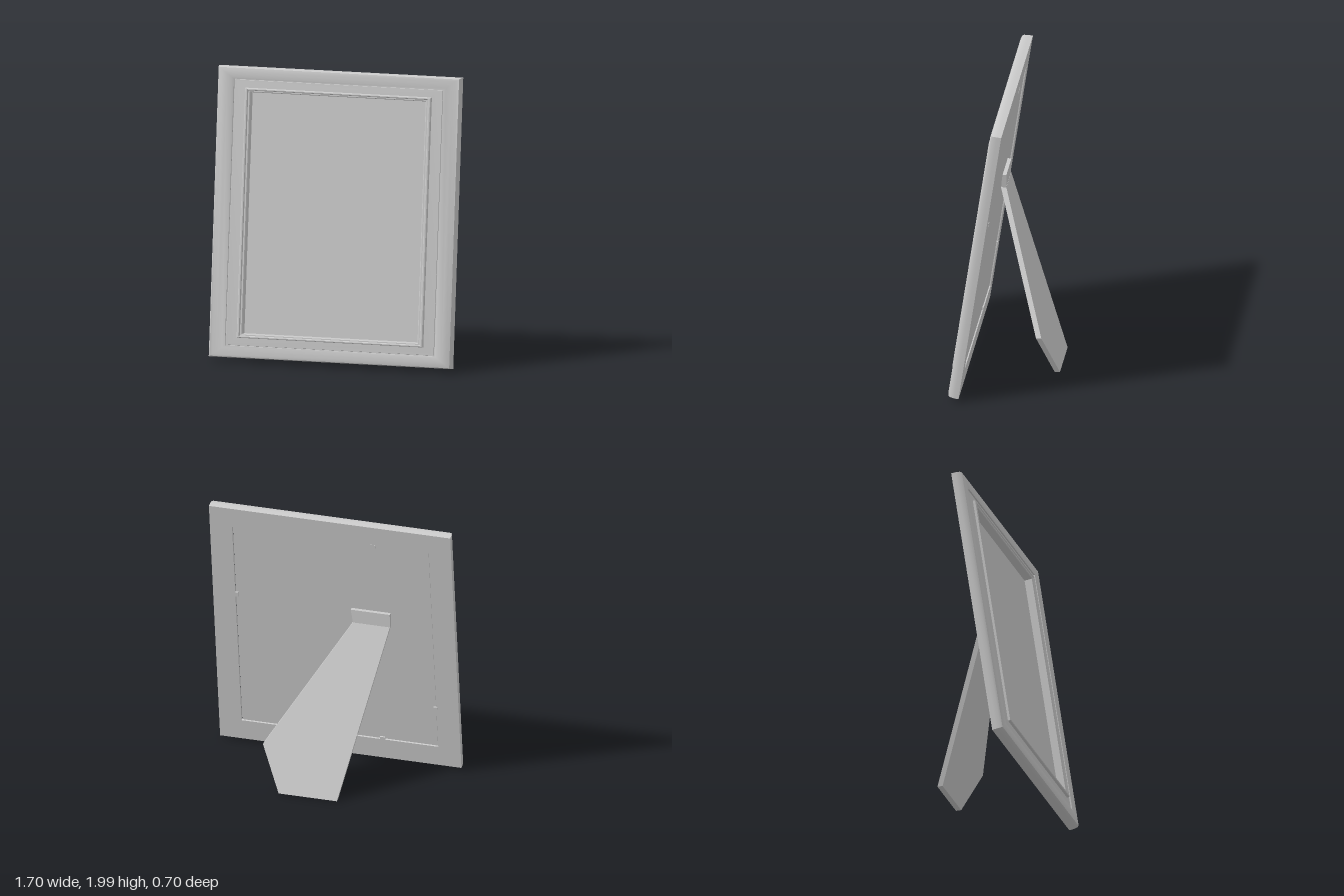
import * as THREE from 'three';
import { toCreasedNormals } from 'three/addons/utils/BufferGeometryUtils.js';

const W = 0.85, H = 1.988, TILT = 0.148;
const material = new THREE.MeshStandardMaterial({ color: 0xcccccc });

function addMesh(parent, name, geometry, x = 0, y = 0, z = 0) {
  const mesh = new THREE.Mesh(geometry, material);
  mesh.name = name;
  mesh.position.set(x, y, z);
  parent.add(mesh);
  return mesh;
}

// Mitred rectangular moulding: profile points are [side inset, top inset, depth]
function mouldingGeometry(profile) {
  const rings = profile.map(([dx, dy, z]) => [
    [dx - W, dy, z], [W - dx, dy, z], [W - dx, H - dy, z], [dx - W, H - dy, z],
  ]);
  const pos = [];
  for (let i = 0; i < rings.length - 1; i++) {
    for (let j = 0; j < 4; j++) {
      const k = (j + 1) % 4;
      const a = rings[i][j], b = rings[i][k], c = rings[i + 1][k], d = rings[i + 1][j];
      pos.push(...a, ...b, ...c, ...a, ...c, ...d);
    }
  }
  const geo = new THREE.BufferGeometry();
  geo.setAttribute('position', new THREE.Float32BufferAttribute(pos, 3));
  geo.computeVertexNormals();
  return toCreasedNormals(geo, 0.55);
}

// Plate with an outline in x and y, sheared so its back face runs z0 at y0 to z1 at y1
function slantedPlate(outline, depth, y0, z0, y1, z1) {
  const shape = new THREE.Shape(outline.map(([x, y]) => new THREE.Vector2(x, y)));
  const geo = new THREE.ExtrudeGeometry(shape, { depth, bevelEnabled: false });
  const p = geo.attributes.position;
  for (let i = 0; i < p.count; i++) {
    const t = (p.getY(i) - y0) / (y1 - y0);
    p.setZ(i, p.getZ(i) + z0 + (z1 - z0) * t);
  }
  geo.computeVertexNormals();
  return geo;
}

export function createModel() {
  const model = new THREE.Group();
  model.name = 'pictureFrame';

  // Leaning frame with its panel
  const leaning = new THREE.Group();
  leaning.name = 'leaningFrame';
  leaning.position.set(0, 0.022, 0.272);
  leaning.rotation.x = -TILT;
  model.add(leaning);

  // Rounded rim, groove, flat band, stepped bead and opening
  const front = [
    [0, 0], [0, 0.03], [0.004, 0.06], [0.012, 0.072], [0.03, 0.077], [0.065, 0.079],
    [0.1, 0.077], [0.117, 0.073], [0.118, 0.06], [0.124, 0.06], [0.126, 0.066],
    [0.198, 0.07], [0.2, 0.086], [0.206, 0.09], [0.215, 0.09], [0.222, 0.083],
    [0.232, 0.083], [0.238, 0.078], [0.24, 0.02],
  ].map(([d, z]) => [d, d * 0.71, z]);
  const back = [[0.157, 0.157, 0.02], [0.157, 0.157, 0]];
  addMesh(leaning, 'frameMoulding', mouldingGeometry([...back, ...front]));

  // Panel, seen through the opening and from behind
  addMesh(leaning, 'backingPanel',
    new THREE.BoxGeometry(2 * W - 0.322, H - 0.322, 0.018), 0, H / 2, 0.017);

  // Small retaining tabs over the panel seam
  const tabs = [[-0.3, H - 0.162, 0], [-0.3, 0.162, 0], [W - 0.162, 1.25, 1], [0.162 - W, 0.48, 1]];
  for (const [x, y, upright] of tabs) {
    const size = upright ? [0.03, 0.035, 0.014] : [0.035, 0.03, 0.014];
    addMesh(leaning, 'retainingTab', new THREE.BoxGeometry(...size), x, y, 0.005);
  }

  // Easel stand: angled leg and the hinge flap fixed to the panel
  const leg = [[-0.14, 0], [0.27, 0], [0.41, 0.306], [-0.14, 1.17], [-0.4, 1.17]];
  addMesh(model, 'standLeg', slantedPlate(leg, 0.037, 0, -0.35, 1.17, 0.07));
  const flap = [[-0.4, 1.17], [-0.14, 1.17], [-0.125, 1.27], [-0.4, 1.27]];
  addMesh(model, 'standHinge', slantedPlate(flap, 0.034, 1.17, 0.071, 1.27, 0.068));

  return model;
}
